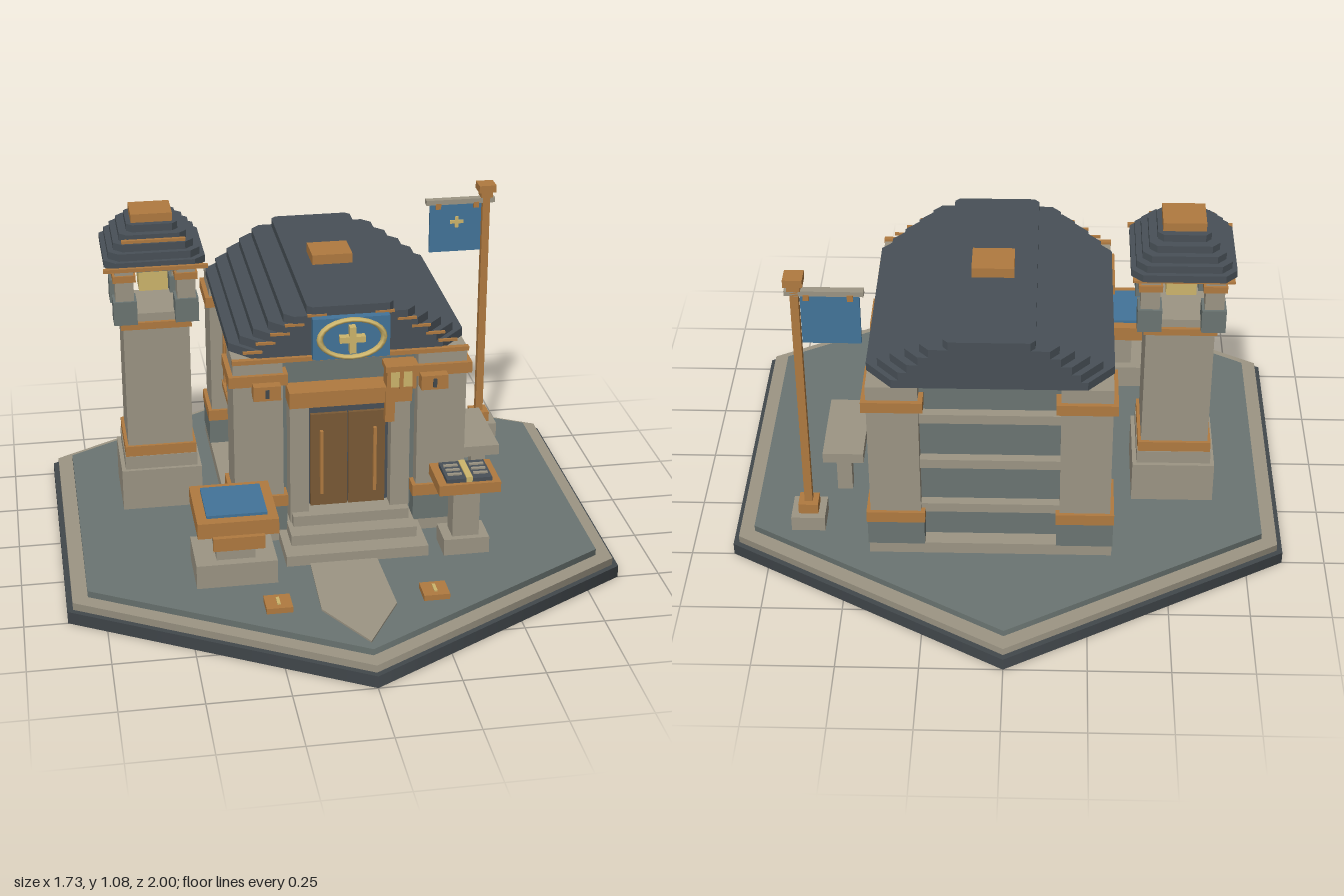
import * as THREE from 'three';

const mat = (name, color) => {
  const m = new THREE.MeshStandardMaterial({ color });
  m.name = name;
  return m;
};

export function createModel() {
  const root = new THREE.Group();
  root.name = 'guildHall';
  const slate = mat('roof slate', 0x485057), dark = mat('dark base', 0x42484c);
  const wall = mat('grey wall', 0x6b7572), stone = mat('pale stone', 0x9c9584);
  const wood = mat('orange wood', 0xb07a40), door = mat('brown door', 0x7a5a35);
  const blue = mat('blue cloth', 0x437499), gold = mat('gold', 0xcdb56c);

  const group = (name, x = 0, z = 0) => {
    const g = new THREE.Group();
    g.name = name;
    g.position.set(x, 0, z);
    root.add(g);
    return g;
  };
  const add = (g, name, geo, m, x = 0, y = 0, z = 0) => {
    const mesh = new THREE.Mesh(geo, m);
    mesh.name = name;
    mesh.position.set(x, y, z);
    g.add(mesh);
    return mesh;
  };
  // Box from y0 to y1, centred on x and z
  const box = (g, name, m, x, z, w, d, y0, y1) =>
    add(g, name, new THREE.BoxGeometry(w, y1 - y0, d), m, x, (y0 + y1) / 2, z);
  // Flat slab with an outline in x and -z, standing on y
  const slab = (g, name, m, pts, y, h) => {
    const s = new THREE.Shape(pts.map(p => new THREE.Vector2(...p)));
    const geo = new THREE.ExtrudeGeometry(s, { depth: h, bevelEnabled: false }).rotateX(-Math.PI / 2);
    return add(g, name, geo, m, 0, y, 0);
  };
  // Rectangle with cut corners
  const cut = (a, b, cx, cz) => [[-a, -b + cz], [-a + cx, -b], [a - cx, -b], [a, -b + cz],
    [a, b - cz], [a - cx, b], [-a + cx, b], [-a, b - cz]];

  // Hexagonal base
  const base = group('base');
  [[1, 0, 0.04, dark], [0.98, 0.04, 0.064, stone], [0.925, 0.064, 0.085, wall]].forEach(([r, a, b, m], i) =>
    add(base, 'baseLayer' + i, new THREE.CylinderGeometry(r, r, b - a, 6), m, 0, (a + b) / 2, 0));
  slab(base, 'path', stone, [[-0.105, -0.38], [-0.115, -0.69], [0, -0.89], [0.115, -0.69], [0.105, -0.38]], 0.085, 0.006);
  for (const s of [-1, 1]) {
    box(base, 'groundPlate', wood, s * 0.24, 0.645, 0.08, 0.08, 0.085, 0.103);
    box(base, 'groundPlateMark', gold, s * 0.24, 0.645, 0.01, 0.04, 0.103, 0.107);
  }

  // Hall walls and corner pillars
  const hall = group('hall', 0.05, -0.167);
  box(hall, 'plinth', stone, 0, 0, 0.75, 0.82, 0.085, 0.125);
  box(hall, 'walls', wall, 0, 0, 0.62, 0.72, 0.125, 0.72);
  for (const sx of [-1, 1]) for (const sz of [-1, 1]) {
    const x = sx * 0.29, z = sz * 0.325;
    box(hall, 'pillar', stone, x, z, 0.155, 0.16, 0.21, 0.715);
    box(hall, 'pillarFoot', wall, x, z, 0.175, 0.18, 0.125, 0.21);
    box(hall, 'pillarLowerBand', wood, x, z, 0.18, 0.182, 0.21, 0.248);
    box(hall, 'pillarUpperBand', wood, x, z, 0.184, 0.188, 0.632, 0.668);
  }
  for (const y of [0.25, 0.42, 0.59]) box(hall, 'backBeam', stone, 0, -0.365, 0.46, 0.05, y - 0.016, y + 0.016);

  // Side windows
  for (const s of [-1, 1]) {
    const x = s * 0.31, z = -0.048;
    box(hall, 'windowPane', gold, x, z, 0.03, 0.16, 0.4, 0.645);
    for (const dz of [-0.08, 0, 0.08]) box(hall, 'windowBar', wood, x, z + dz, 0.055, dz ? 0.022 : 0.012, 0.4, 0.645);
    for (const y of [0.385, 0.64]) box(hall, 'windowRail', wood, x, z, 0.065, 0.19, y, y + 0.02);
  }

  // Stepped roof
  box(hall, 'frontEave', wood, 0, 0.41, 0.74, 0.018, 0.708, 0.722);
  [0.37, 0.335, 0.295, 0.25, 0.205, 0.135].forEach((w, i) => {
    const c = 0.08 - i * 0.013, y = 0.715 + i * 0.0275;
    slab(hall, 'roofStep' + i, slate, cut(w, 0.405, c, c * 1.1), y, 0.0275);
    if (i) for (const s of [-1, 1]) box(hall, 'roofTrim', wood, s * (w - 0.03), 0.404, 0.06, 0.008, y - 0.004, y + 0.004);
  });
  box(hall, 'ridgeCap', wood, 0, 0, 0.13, 0.117, 0.878, 0.912);

  // Round emblem on the gable
  box(hall, 'emblemPanel', blue, -0.003, 0.418, 0.24, 0.03, 0.715, 0.85);
  const ring = add(hall, 'emblemRing', new THREE.TorusGeometry(0.1, 0.01, 6, 24), gold, -0.003, 0.785, 0.44);
  ring.scale.set(1, 0.62, 1.5);
  box(hall, 'emblemCrossUpright', gold, -0.003, 0.445, 0.02, 0.03, 0.742, 0.828);
  box(hall, 'emblemCrossArm', gold, -0.003, 0.445, 0.08, 0.028, 0.777, 0.796);

  // Doorway
  const entry = group('entrance', 0.045, 0);
  box(entry, 'doorRecess', slate, 0, 0.2, 0.27, 0.02, 0.125, 0.57);
  for (const s of [-1, 1]) {
    box(entry, 'doorLeaf', door, s * 0.0605, 0.21, 0.117, 0.025, 0.19, 0.51);
    box(entry, 'doorHandle', wood, s * 0.085, 0.228, 0.01, 0.015, 0.235, 0.455);
    box(entry, 'doorJamb', stone, s * 0.16, 0.225, 0.06, 0.07, 0.125, 0.56);
    box(entry, 'wallBracket', wood, s * 0.262, 0.26, 0.085, 0.05, 0.598, 0.645);
    box(entry, 'bracketSlot', dark, s * 0.262, 0.286, 0.012, 0.006, 0.607, 0.635);
  }
  box(entry, 'lintel', wood, 0, 0.23, 0.385, 0.09, 0.56, 0.612);
  [[0.225, 0.415, 0.12], [0.2, 0.35, 0.155], [0.185, 0.29, 0.19]].forEach(([w, z, y], i) =>
    box(entry, 'step' + i, stone, 0, (z + 0.19) / 2, w * 2, z - 0.19, 0.085, y));
  // Hanging lantern beside the door
  box(entry, 'lanternGlow', gold, 0.157, 0.255, 0.07, 0.05, 0.612, 0.668);
  box(entry, 'lanternCap', wood, 0.157, 0.25, 0.1, 0.07, 0.666, 0.684);
  for (const x of [0.117, 0.157, 0.197]) box(entry, 'lanternBar', wood, x, 0.255, 0.012, 0.056, 0.605, 0.67);
  box(entry, 'lanternStem', wood, 0.122, 0.268, 0.03, 0.025, 0.495, 0.612);

  // Bell tower
  const tower = group('tower', -0.523, -0.17);
  [['towerFoot', stone, 0.13, 0.085, 0.225], ['towerFootTop', stone, 0.117, 0.225, 0.27],
    ['towerLowerBand', wood, 0.115, 0.27, 0.305], ['towerShaft', stone, 0.105, 0.305, 0.715],
    ['towerUpperBand', wood, 0.112, 0.715, 0.738], ['belfryFloor', stone, 0.1, 0.738, 0.765],
    ['belfryCeiling', wall, 0.125, 0.915, 0.935], ['towerEave', wood, 0.152, 0.93, 0.938]]
    .forEach(([n, m, h, a, b]) => box(tower, n, m, 0, 0, h * 2, h * 2, a, b));
  for (const sx of [-1, 1]) for (const sz of [-1, 1]) {
    const x = sx * 0.097, z = sz * 0.097;
    box(tower, 'belfryPostFoot', wall, x, z, 0.074, 0.074, 0.742, 0.82);
    box(tower, 'belfryPost', stone, x, z, 0.058, 0.058, 0.82, 0.92);
    box(tower, 'belfryPostBand', wood, x, z, 0.072, 0.072, 0.885, 0.907);
  }
  box(tower, 'bell', gold, 0, 0, 0.092, 0.092, 0.82, 0.885);
  box(tower, 'bellStem', wood, 0, 0, 0.018, 0.018, 0.885, 0.92);
  [0.158, 0.143, 0.125, 0.105, 0.08].forEach((w, i) =>
    slab(tower, 'towerRoofStep' + i, slate, cut(w, w, w * 0.22, w * 0.22), 0.938 + i * 0.0235, 0.0235));
  box(tower, 'towerCap', wood, 0, 0, 0.13, 0.117, 1.055, 1.083);
  box(tower, 'towerFrontBar', wood, 0, 0.163, 0.325, 0.014, 0.934, 0.946);
  box(tower, 'towerRoofBar', wood, 0, 0.11, 0.2, 0.014, 1.005, 1.018);

  // Large display table
  const table = group('displayTable', -0.345, 0.43);
  box(table, 'tableFoot', stone, 0, -0.02, 0.25, 0.19, 0.085, 0.163);
  box(table, 'tableColumn', stone, 0, -0.02, 0.12, 0.13, 0.163, 0.285);
  box(table, 'tableTop', wood, 0, 0, 0.246, 0.25, 0.285, 0.335);
  box(table, 'tableCloth', blue, 0, 0, 0.185, 0.185, 0.335, 0.344);
  box(table, 'tableFrontBoard', wood, 0, 0.133, 0.157, 0.016, 0.247, 0.29);

  // Small reading stand
  const stand = group('readingStand', 0.39, 0.37);
  box(stand, 'standFoot', stone, 0, 0, 0.145, 0.11, 0.085, 0.14);
  box(stand, 'standColumn', stone, 0, 0, 0.085, 0.07, 0.14, 0.31);
  box(stand, 'standTop', wood, 0, 0, 0.195, 0.158, 0.31, 0.345);
  for (const s of [-1, 1]) {
    box(stand, 'bookPage', slate, s * 0.041, 0.005, 0.062, 0.12, 0.345, 0.358);
    for (const z of [-0.025, 0.005, 0.035]) box(stand, 'pageLine', stone, s * 0.041, z, 0.045, 0.01, 0.358, 0.363);
  }
  box(stand, 'bookSpine', gold, 0, 0.005, 0.02, 0.12, 0.345, 0.362);

  // Bench
  const bench = group('bench', 0.53, -0.145);
  box(bench, 'benchSeat', stone, 0, 0, 0.13, 0.29, 0.207, 0.242);
  for (const s of [-1, 1]) box(bench, 'benchLeg', stone, 0, s * 0.104, 0.048, 0.042, 0.085, 0.207);

  // Flag pole with banner
  const flag = group('flagPole', 0.627, -0.427);
  box(flag, 'poleFoot', stone, 0, 0, 0.106, 0.106, 0.085, 0.135);
  box(flag, 'poleSocket', wood, 0, 0, 0.062, 0.062, 0.135, 0.17);
  box(flag, 'pole', wood, 0, 0, 0.025, 0.025, 0.17, 0.985);
  box(flag, 'poleCollar', wood, 0, 0, 0.04, 0.04, 0.965, 0.985);
  box(flag, 'poleCap', wood, 0, 0, 0.058, 0.058, 0.985, 1.01);
  box(flag, 'bannerBar', stone, -0.088, 0, 0.235, 0.025, 0.945, 0.962);
  box(flag, 'banner', blue, -0.104, 0, 0.176, 0.012, 0.775, 0.945);
  for (const x of [-0.165, -0.035]) box(flag, 'bannerTie', wood, x, 0, 0.018, 0.03, 0.93, 0.95);
  box(flag, 'bannerCrossUpright', gold, -0.1, 0.008, 0.012, 0.006, 0.862, 0.9);
  box(flag, 'bannerCrossArm', gold, -0.1, 0.0085, 0.046, 0.006, 0.876, 0.887);

  return root;
}
